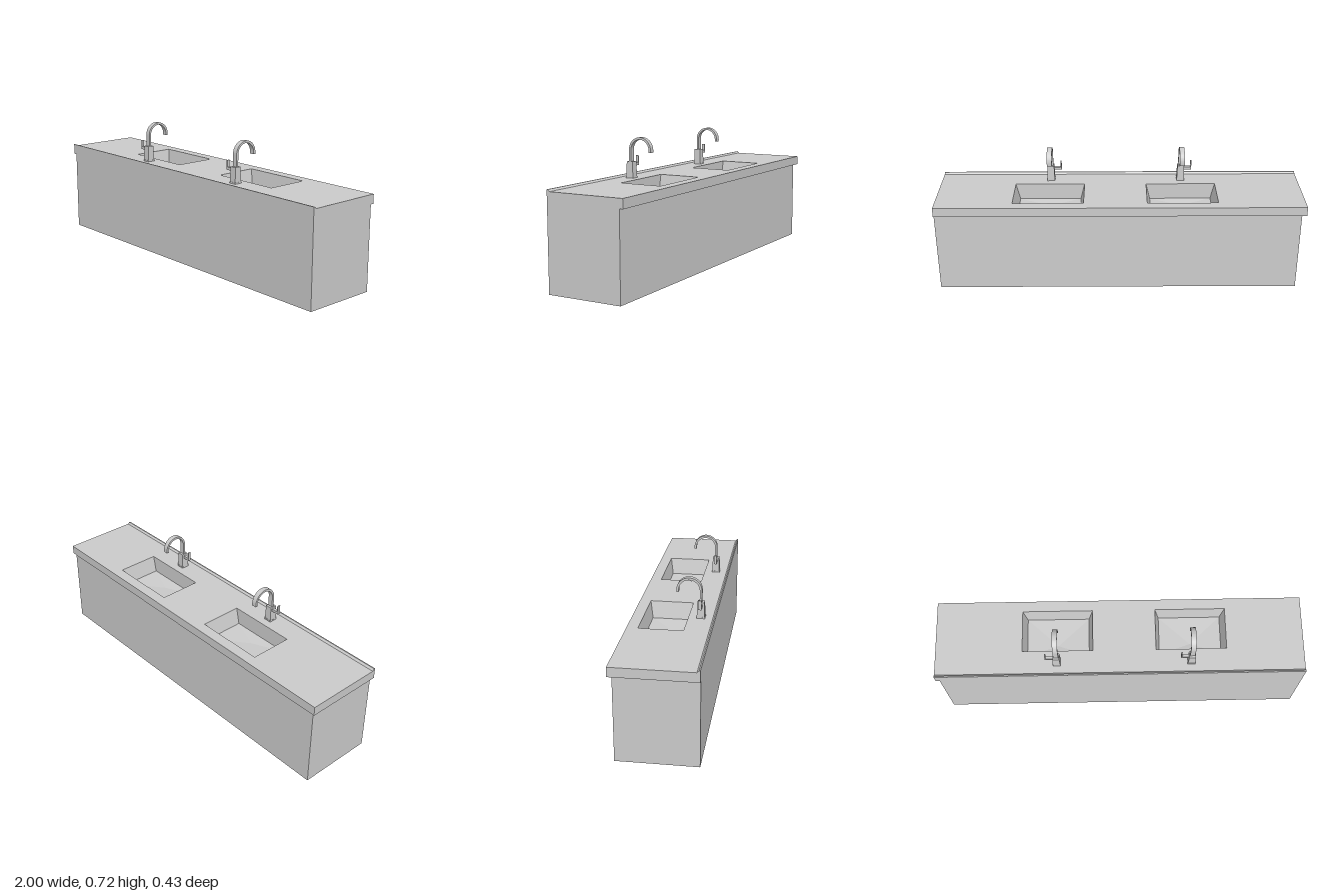
import * as THREE from 'three';

const grey = new THREE.MeshStandardMaterial({ color: 0xcccccc, flatShading: true });
const TOP = 0.505;

function add(group, name, geometry, x = 0, y = 0, z = 0) {
  const mesh = new THREE.Mesh(geometry, grey);
  mesh.name = name;
  mesh.position.set(x, y, z);
  group.add(mesh);
  return mesh;
}

// Box given by its limits on each axis
function addBox(group, name, [x0, x1], [y0, y1], [z0, z1]) {
  return add(group, name, new THREE.BoxGeometry(x1 - x0, y1 - y0, z1 - z0),
    (x0 + x1) / 2, (y0 + y1) / 2, (z0 + z1) / 2);
}

// Extrudes a (z, y) side profile along x, centred on x = 0
function sideExtrude(shape, width, curveSegments = 12) {
  return new THREE.ExtrudeGeometry(shape, { depth: width, bevelEnabled: false, curveSegments })
    .rotateY(-Math.PI / 2).translate(width / 2, 0, 0);
}

function rect(target, x0, x1, z0, z1) {
  target.moveTo(x0, z0);
  target.lineTo(x1, z0);
  target.lineTo(x1, z1);
  target.lineTo(x0, z1);
  target.closePath();
  return target;
}

const BASIN = { half: 0.192, back: -0.158, front: 0.074 };

// Sloping walls and a floor that falls to a low point
function basinGeometry() {
  const { half, back, front } = BASIN;
  const ring = (h, b, f, y) => [[-h, y, b], [h, y, b], [h, y, f], [-h, y, f]];
  const points = [
    ...ring(half, back, front, 0),
    ...ring(half - 0.022, back + 0.014, front - 0.002, -0.09),
    [0, -0.102, 0.01],
  ];
  const index = [];
  for (let i = 0; i < 4; i++) {
    const j = (i + 1) % 4;
    index.push(i, 4 + i, j, j, 4 + i, 4 + j, 4 + i, 8, 4 + j);
  }
  const g = new THREE.BufferGeometry();
  g.setAttribute('position', new THREE.Float32BufferAttribute(points.flat(), 3));
  g.setIndex(index);
  const flat = g.toNonIndexed();
  flat.computeVertexNormals();
  return flat;
}

function createFaucet() {
  const faucet = new THREE.Group();
  faucet.name = 'faucet';
  const z = 0.139;

  addBox(faucet, 'faucetBase', [-0.021, 0.021], [TOP, TOP + 0.008], [z - 0.022, z + 0.022]);

  // Square body, slightly wider at its foot
  const body = new THREE.CylinderGeometry(0.018 * Math.SQRT2, 0.0205 * Math.SQRT2, 0.08, 4)
    .rotateY(Math.PI / 4);
  add(faucet, 'faucetBody', body, 0, TOP + 0.047, z);

  // Flat gooseneck spout
  const cz = 0.0785, cy = 0.655, outer = 0.0665, inner = 0.0545;
  const neck = new THREE.Shape();
  neck.moveTo(cz + inner, 0.59);
  neck.lineTo(cz + outer, 0.59);
  neck.lineTo(cz + outer, cy);
  neck.absarc(cz, cy, outer, 0, Math.PI, false);
  neck.lineTo(cz - outer, 0.643);
  neck.lineTo(cz - inner, 0.643);
  neck.lineTo(cz - inner, cy);
  neck.absarc(cz, cy, inner, Math.PI, 0, true);
  neck.closePath();
  add(faucet, 'spout', sideExtrude(neck, 0.027));

  // Side lever
  addBox(faucet, 'handleStem', [-0.054, -0.015], [0.567, 0.582], [z - 0.008, z + 0.008]);
  addBox(faucet, 'handleLever', [-0.06, -0.054], [0.567, 0.618], [z - 0.008, z + 0.008]);
  return faucet;
}

export function createModel() {
  const model = new THREE.Group();
  model.name = 'doubleVanity';
  const sinkX = [-0.338, 0.389];

  // Cabinet, open at the top so the basins can sink into it
  const cabinet = addBox(model, 'cabinet', [-0.978, 1], [0, 0.47], [-0.198, 0.217]);
  const faces = Array.from(cabinet.geometry.index.array);
  faces.splice(12, 6);
  cabinet.geometry.setIndex(faces);
  cabinet.geometry.clearGroups();

  // Countertop with sink cutouts
  const slab = rect(new THREE.Shape(), -1, 1, -0.217, 0.217);
  for (const x of sinkX) {
    slab.holes.push(rect(new THREE.Path(), x - BASIN.half, x + BASIN.half, BASIN.back, BASIN.front));
  }
  const slabGeometry = new THREE.ExtrudeGeometry(slab, { depth: 0.05, bevelEnabled: false })
    .rotateX(Math.PI / 2);
  add(model, 'countertop', slabGeometry, 0, TOP, 0);

  // Raised front lip with a chamfered inner edge
  const lip = new THREE.Shape();
  lip.moveTo(0.201, TOP);
  lip.lineTo(0.217, TOP);
  lip.lineTo(0.217, 0.515);
  lip.lineTo(0.211, 0.515);
  lip.closePath();
  add(model, 'frontLip', sideExtrude(lip, 2));

  for (const x of sinkX) {
    add(model, 'basin', basinGeometry(), x, TOP, 0);
    const faucet = createFaucet();
    faucet.position.x = x - 0.003;
    model.add(faucet);
  }
  return model;
}
